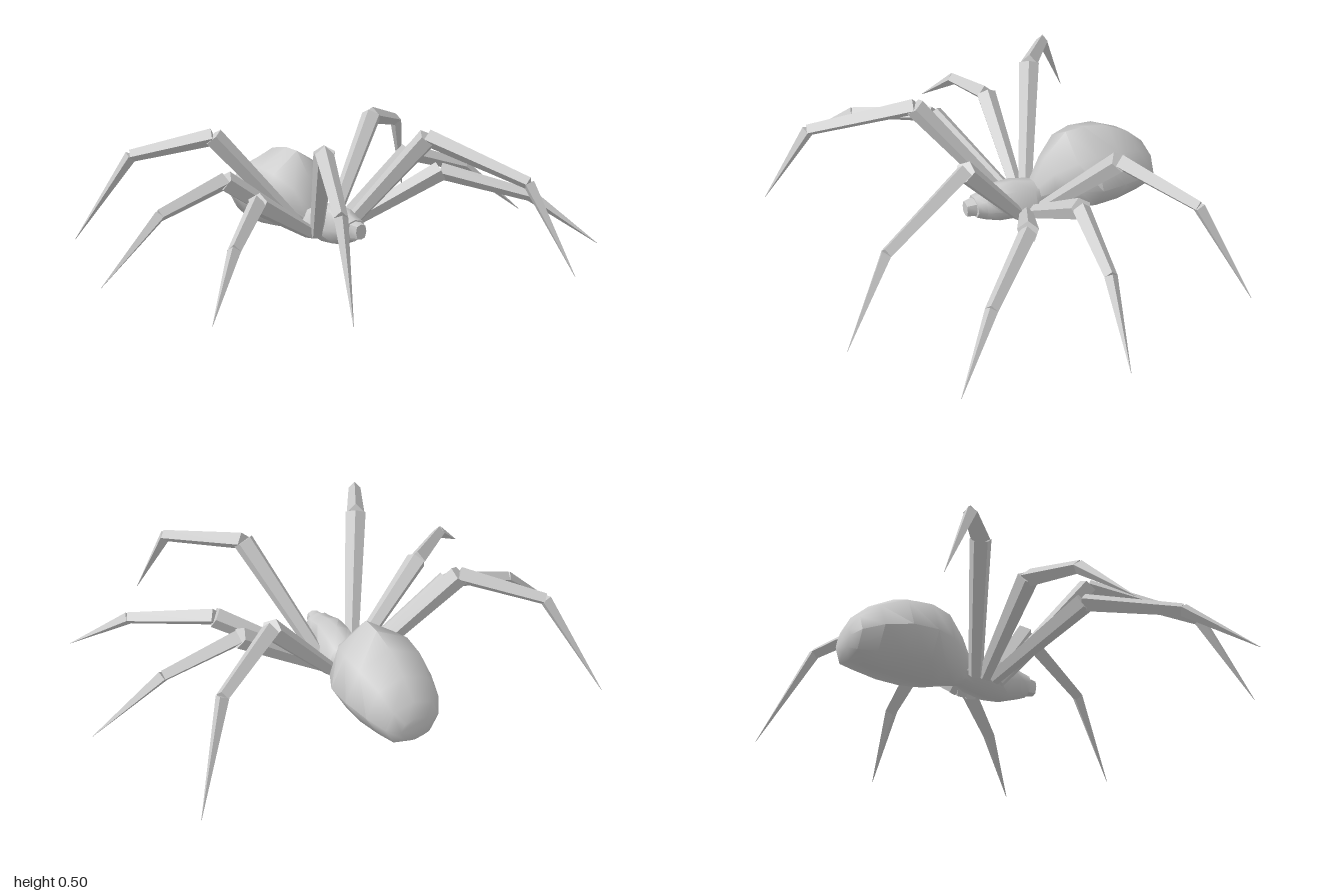
import * as THREE from 'three';
import { toCreasedNormals } from 'three/addons/utils/BufferGeometryUtils.js';

const grey = new THREE.MeshStandardMaterial({ color: 0xcccccc });
grey.name = 'grey';

// Skin a list of rings (counter-clockwise about the travel direction) and cap both ends.
function loft(rings, crease) {
  const n = rings[0].length, pos = [], idx = [];
  rings.forEach(r => r.forEach(p => pos.push(p.x, p.y, p.z)));
  for (let i = 0; i < rings.length - 1; i++) {
    for (let j = 0; j < n; j++) {
      const k = (j + 1) % n, a = i * n + j, b = i * n + k;
      idx.push(a, b, b + n, a, b + n, a + n);
    }
  }
  const last = (rings.length - 1) * n;
  for (let j = 1; j < n - 1; j++) {
    idx.push(0, j + 1, j, last, last + j, last + j + 1);
  }
  const g = new THREE.BufferGeometry();
  g.setAttribute('position', new THREE.Float32BufferAttribute(pos, 3));
  g.setIndex(idx);
  return toCreasedNormals(g, crease);
}

function mesh(geometry, name) {
  const m = new THREE.Mesh(geometry, grey);
  m.name = name;
  return m;
}

// Body ring: [z, half width, side y, shoulder half width, shoulder y, top y, belly half width, belly y, bottom y]
function bodyRing([z, w, wy, s, sy, top, b, by, bottom]) {
  return [[w, wy], [s, sy], [0, top], [-s, sy], [-w, wy], [-b, by], [0, bottom], [b, by]]
    .map(([x, y]) => new THREE.Vector3(x, y, z));
}

// Tapering limb segment with a ridge facing up.
function segment(from, to, r0, r1, sides, name) {
  const a = new THREE.Vector3(...from), b = new THREE.Vector3(...to);
  const dir = b.clone().sub(a).normalize();
  const side = new THREE.Vector3(0, 1, 0).cross(dir).normalize();
  const up = dir.clone().cross(side);
  const ring = (c, r) => Array.from({ length: sides }, (_, i) => {
    const t = Math.PI / 2 + i / sides * Math.PI * 2;
    return c.clone().addScaledVector(side, r * Math.cos(t)).addScaledVector(up, r * Math.sin(t));
  });
  return mesh(loft([ring(a, r0), ring(b, r1)], 0.3), name);
}

// Hip, knee, ankle and tip of every leg
const legs = {
  frontRightLeg: [[-0.07, 0.075, -0.125], [-0.245, 0.475, 0.175], [-0.445, 0.35, 0.55], [-0.525, 0.025, 0.73]],
  frontLeftLeg: [[0.07, 0.075, -0.125], [0.24, 0.475, 0.18], [0.415, 0.345, 0.56], [0.485, 0.015, 0.75]],
  secondRightLeg: [[-0.08, 0.075, -0.155], [-0.44, 0.285, 0.018], [-0.70, 0.21, 0.27], [-0.90, 0.025, 0.445]],
  secondLeftLeg: [[0.08, 0.075, -0.155], [0.44, 0.285, 0.018], [0.69, 0.2, 0.28], [0.875, 0.015, 0.48]],
  thirdRightLeg: [[-0.08, 0.075, -0.19], [-0.435, 0.325, -0.215], [-0.73, 0.24, -0.197], [-1.0, 0.02, -0.16]],
  thirdLeftLeg: [[0.08, 0.075, -0.19], [0.44, 0.325, -0.2], [0.73, 0.23, -0.17], [1.0, 0.01, -0.115]],
  rearRightLeg: [[-0.075, 0.075, -0.225], [-0.38, 0.46, -0.385], [-0.64, 0.385, -0.575], [-0.805, 0.03, -0.76]],
  rearLeftLeg: [[0.075, 0.075, -0.225], [0.395, 0.455, -0.38], [0.665, 0.375, -0.56], [0.83, 0.015, -0.72]],
};

export function createModel() {
  const spider = new THREE.Group();
  spider.name = 'spider';

  // Abdomen, back to front
  spider.add(mesh(loft([
    [-0.735, 0.06, 0.12, 0.045, 0.15, 0.165, 0.04, 0.08, 0.07],
    [-0.71, 0.11, 0.13, 0.08, 0.195, 0.22, 0.075, 0.065, 0.048],
    [-0.64, 0.15, 0.15, 0.10, 0.25, 0.285, 0.10, 0.065, 0.042],
    [-0.54, 0.18, 0.165, 0.125, 0.285, 0.34, 0.12, 0.06, 0.036],
    [-0.44, 0.185, 0.165, 0.13, 0.29, 0.36, 0.125, 0.06, 0.033],
    [-0.36, 0.15, 0.165, 0.115, 0.275, 0.358, 0.10, 0.06, 0.036],
    [-0.28, 0.09, 0.15, 0.07, 0.22, 0.27, 0.06, 0.07, 0.048],
    [-0.22, 0.045, 0.11, 0.035, 0.145, 0.155, 0.03, 0.08, 0.062],
  ].map(bodyRing), 0.95), 'abdomen'));

  // Thorax and head, back to front
  spider.add(mesh(loft([
    [-0.27, 0.045, 0.10, 0.03, 0.14, 0.15, 0.03, 0.075, 0.06],
    [-0.21, 0.075, 0.09, 0.05, 0.15, 0.165, 0.045, 0.055, 0.045],
    [-0.13, 0.08, 0.09, 0.05, 0.17, 0.19, 0.045, 0.04, 0.03],
    [-0.06, 0.067, 0.10, 0.047, 0.17, 0.185, 0.04, 0.045, 0.035],
    [0.0, 0.06, 0.11, 0.042, 0.15, 0.165, 0.035, 0.065, 0.055],
    [0.035, 0.05, 0.115, 0.036, 0.145, 0.155, 0.03, 0.08, 0.07],
  ].map(bodyRing), 0.95), 'head'));

  // Blunt mouth at the front of the head
  spider.add(mesh(loft([
    [0.03, 0.035, 0.115, 0.028, 0.142, 0.15, 0.025, 0.085, 0.078],
    [0.073, 0.025, 0.115, 0.02, 0.138, 0.145, 0.018, 0.09, 0.085],
  ].map(bodyRing), 0.95), 'mouth'));

  // Legs
  for (const [name, [hip, knee, ankle, tip]] of Object.entries(legs)) {
    const leg = new THREE.Group();
    leg.name = name;
    leg.add(
      segment(hip, knee, 0.028, 0.042, 5, 'thigh'),
      segment(knee, ankle, 0.035, 0.025, 4, 'shin'),
      segment(ankle, tip, 0.025, 0.001, 4, 'foot'),
    );
    spider.add(leg);
  }
  return spider;
}
